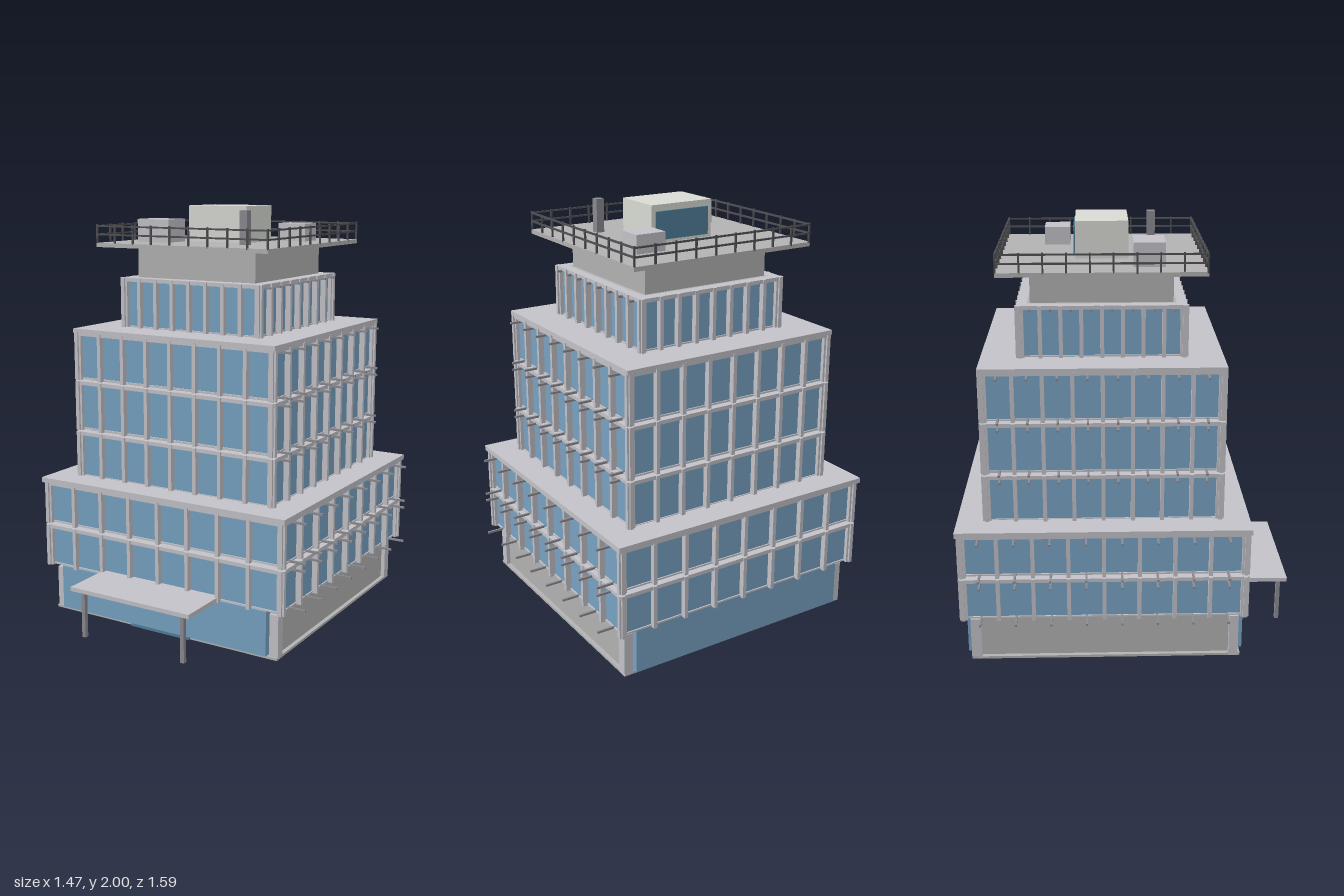
import * as THREE from 'three';

const CZ = -0.115; // centre of the tower in z
const mat = (color) => new THREE.MeshStandardMaterial({ color, roughness: 0.8 });

export function createModel() {
  const M = {
    wall: mat(0xb2b2b2), trim: mat(0xc2c2c8), glass: mat(0x78a2c3), door: mat(0x4f7f9b),
    metal: mat(0x8a8a90), rail: mat(0x505054), hut: mat(0xd8dad3),
  };
  const model = new THREE.Group();
  model.name = 'towerBuilding';

  // Box given by its min and max corners
  function box(parent, name, m, x0, x1, y0, y1, z0, z1) {
    const mesh = new THREE.Mesh(new THREE.BoxGeometry(x1 - x0, y1 - y0, z1 - z0), m);
    mesh.position.set((x0 + x1) / 2, (y0 + y1) / 2, (z0 + z1) / 2);
    mesh.name = name;
    parent.add(mesh);
    return mesh;
  }
  // Square slab centred on the tower axis
  const slab = (parent, name, m, h, y0, y1) => box(parent, name, m, -h, h, y0, y1, CZ - h, CZ + h);
  const group = (name, parent = model) => {
    const g = new THREE.Group();
    g.name = name;
    parent.add(g);
    return g;
  };
  // Runs a builder once for each of the four sides, outward being local +z
  function fourSides(parent, name, build) {
    for (let i = 0; i < 4; i++) {
      const side = group(name, parent);
      side.position.z = CZ;
      side.rotation.y = i * Math.PI / 2;
      build(side);
    }
  }

  // Ground floor: base, walls, corner columns, glazed front and back
  const ground = group('groundFloor');
  box(ground, 'base', M.wall, -0.63, 0.63, 0, 0.012, -0.745, 0.53);
  box(ground, 'sideWalls', M.wall, -0.61, 0.61, 0.01, 0.235, -0.72, 0.505);
  for (const s of [-1, 1]) {
    const x = s * 0.6075;
    box(ground, 'cornerColumn', M.trim, x - 0.0225, x + 0.0225, 0, 0.212, 0.475, 0.52);
    box(ground, 'cornerColumn', M.trim, x - 0.0225, x + 0.0225, 0, 0.212, -0.745, -0.695);
  }
  box(ground, 'frontGlass', M.glass, -0.58, 0.58, 0.015, 0.23, 0.5, 0.544);
  box(ground, 'backGlass', M.glass, -0.58, 0.58, 0.015, 0.23, -0.765, -0.72);
  box(ground, 'entranceDoor', M.door, -0.165, 0.165, 0, 0.2, 0.52, 0.542);

  // Entrance canopy on two posts
  const canopy = group('canopy');
  box(canopy, 'canopyRoof', M.trim, -0.33, 0.33, 0.23, 0.25, 0.5, 0.795);
  for (const s of [-1, 1]) {
    const x = s * 0.277;
    box(canopy, 'canopyPost', M.metal, x - 0.01, x + 0.01, 0, 0.23, 0.75, 0.77);
  }

  // One glazed storey: core, glass, frame rails, fins and side brackets
  function storey({ name, y0, y1, half, bracket, marks }) {
    const g = group(name);
    const bays = 8, step = 2 * half / bays;
    slab(g, 'core', M.wall, half - 0.035, y0 - 0.015, y1);
    slab(g, 'glass', M.glass, half - 0.01, y0 + 0.006, y1 - 0.015);
    slab(g, 'bottomRail', M.trim, half - 0.004, y0, y0 + 0.008);
    slab(g, 'topRail', M.trim, half + 0.012, y1 - 0.018, y1);
    fourSides(g, 'facade', (side) => {
      for (let i = 0; i <= bays; i++) {
        const x = -half + i * step;
        box(side, 'fin', M.trim, x - 0.009, x + 0.009, y0 - 0.003, y1, half - 0.02, half + 0.018);
      }
    });
    // Sunshade brackets in the middle of each bay, on the two flanks
    for (const s of [-1, 1]) for (const y of marks) for (let i = 0; i < bays; i++) {
      const z = CZ - half + (i + 0.5) * step;
      const a = s * (half - 0.02), b = s * bracket;
      box(g, 'bracket', M.metal, Math.min(a, b), Math.max(a, b), y - 0.005, y + 0.005, z - 0.005, z + 0.005);
    }
  }
  const storeys = [
    [0.23, 0.438, 0.656, 0.735, [0.235, 0.42]],
    [0.45, 0.66, 0.656, 0.735, [0.457, 0.641]],
    [0.675, 0.905, 0.54, 0.6, [0.887]],
    [0.916, 1.158, 0.54, 0.6, [0.922, 1.137]],
    [1.167, 1.4, 0.54, 0.6, [1.172, 1.377]],
    [1.415, 1.658, 0.375, 0.41, [1.64]],
  ];
  storeys.forEach(([y0, y1, half, bracket, marks], i) =>
    storey({ name: 'storey' + (i + 1), y0, y1, half, bracket, marks }));

  // Terrace roofs of the lower two tiers, penthouse and overhanging deck
  slab(model, 'lowerRoof', M.trim, 0.68, 0.655, 0.68);
  slab(model, 'middleRoof', M.trim, 0.557, 1.395, 1.416);
  slab(model, 'penthouse', M.wall, 0.326, 1.65, 1.81);
  slab(model, 'roofDeck', M.wall, 0.47, 1.806, 1.826);

  // Railing around the deck
  const railing = group('railing');
  fourSides(railing, 'railingSide', (side) => {
    const h = 0.466, t = 0.004;
    for (let i = 0; i < 9; i++) {
      const x = -h + i * h / 4.5;
      box(side, 'railPost', M.rail, x - t, x + t, 1.82, 1.914, h - t, h + t);
    }
    for (const y of [1.866, 1.906]) box(side, 'handRail', M.rail, -h, h, y - t, y + t, h - t, h + t);
  });

  // Rooftop hut, machine boxes and chimney
  const roof = group('roofEquipment');
  box(roof, 'roofHut', M.hut, -0.163, 0.163, 1.82, 2, -0.235, 0.01);
  box(roof, 'hutWindow', M.door, -0.142, 0.142, 1.84, 1.97, -0.243, -0.23);
  box(roof, 'machineBox', M.trim, -0.355, -0.175, 1.82, 1.936, 0.028, 0.172);
  box(roof, 'machineBox', M.trim, 0.187, 0.335, 1.82, 1.912, -0.388, -0.265);
  box(roof, 'chimney', M.metal, 0.207, 0.246, 1.82, 1.985, 0.112, 0.151);

  return model;
}
